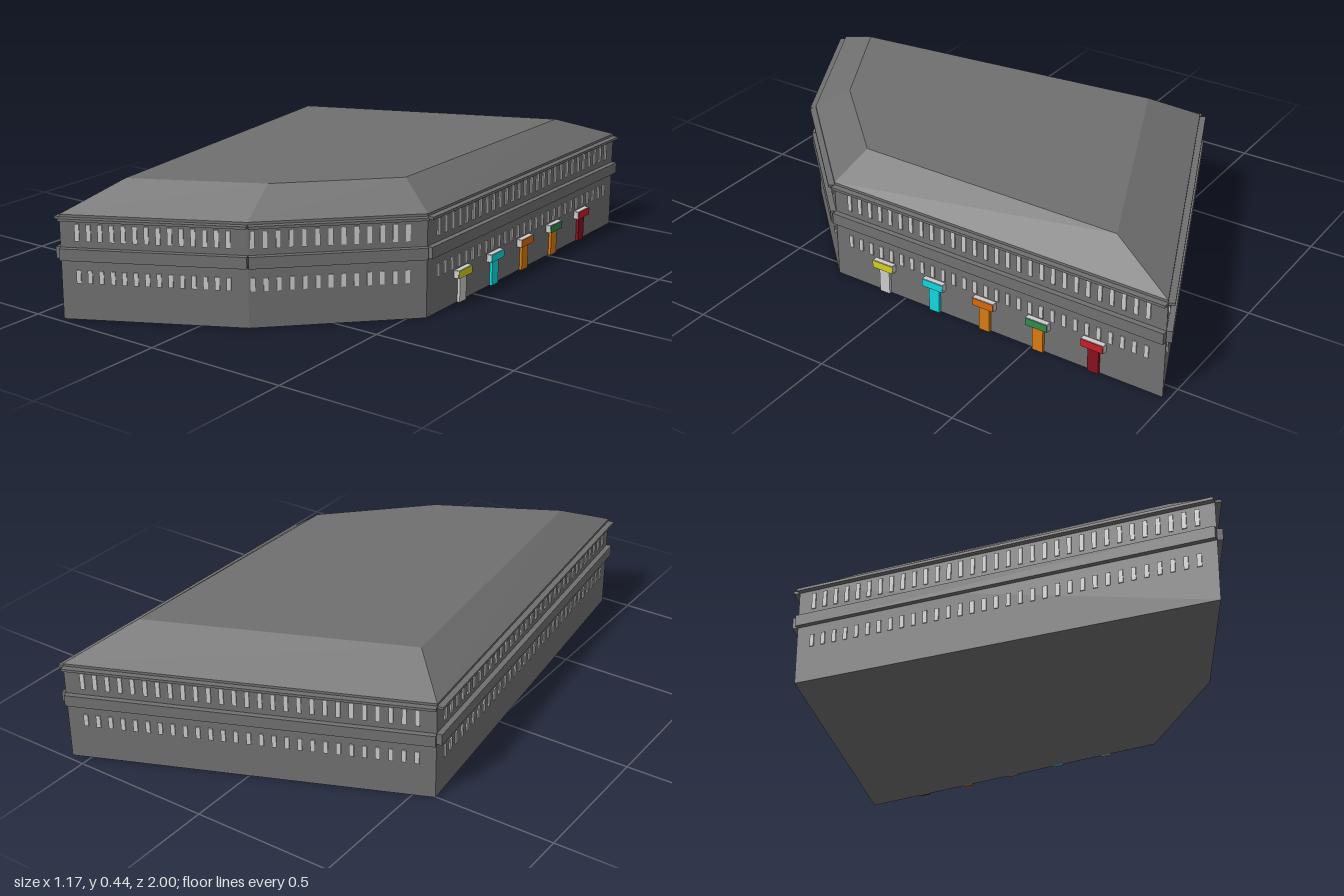
import * as THREE from 'three';

const material = (color) => new THREE.MeshStandardMaterial({ color, flatShading: true });
const wallGrey = material(0x707070);
const paleGrey = material(0xcccccc);

function box(parent, name, mat, w, h, d, x, y, z) {
  const mesh = new THREE.Mesh(new THREE.BoxGeometry(w, h, d), mat);
  mesh.name = name;
  mesh.position.set(x, y, z);
  parent.add(mesh);
  return mesh;
}

// Five corners (x, z) of the walls and of the flat roof top, counter-clockwise from above
const corners = [[-0.4, 0.98], [0.14, 0.695], [0.548, 0.285], [0.562, -0.98], [-0.57, -0.503]];
const roofTop = [[-0.3, 0.775], [0.113, 0.555], [0.428, 0.235], [0.445, -0.735], [-0.422, -0.368]];
const EAVES = 0.355, RIDGE = 0.444;

// Window count and first / last position along each wall
const windowRows = [[14, 0.093, 0.898], [13, 0.025, 0.89], [28, 0.05, 0.95], [27, 0.05, 0.95], [33, 0.04, 0.96]];

// z position, door colour, canopy colour
const doors = [
  [0.08, 0xcccccc, 0xd6cf1c],
  [-0.125, 0x10d8e0, 0x10d8e0],
  [-0.325, 0xd87a10, 0xd8680c],
  [-0.53, 0xd87a10, 0x2f8a4c],
  [-0.735, 0x85101f, 0xc81e26],
];

function createBody() {
  const shape = new THREE.Shape(corners.map(([x, z]) => new THREE.Vector2(x, -z)));
  const geometry = new THREE.ExtrudeGeometry(shape, { depth: EAVES, bevelEnabled: false });
  geometry.rotateX(-Math.PI / 2);
  const mesh = new THREE.Mesh(geometry, wallGrey);
  mesh.name = 'walls';
  return mesh;
}

// Hipped roof: sloping sides between the two outlines, closed by a flat top
function createRoof() {
  const n = corners.length;
  const positions = [
    ...corners.flatMap(([x, z]) => [x, EAVES, z]),
    ...roofTop.flatMap(([x, z]) => [x, RIDGE, z]),
  ];
  const index = [];
  for (let i = 0; i < n; i++) {
    const j = (i + 1) % n;
    index.push(i, j, n + j, i, n + j, n + i);
    if (i > 0 && i < n - 1) index.push(n, n + i, n + i + 1);
  }
  const indexed = new THREE.BufferGeometry();
  indexed.setAttribute('position', new THREE.Float32BufferAttribute(positions, 3));
  indexed.setIndex(index);
  const geometry = indexed.toNonIndexed();
  geometry.computeVertexNormals();
  const mesh = new THREE.Mesh(geometry, wallGrey);
  mesh.name = 'roof';
  return mesh;
}

// Group lying along a wall: x runs along it, z points outwards
function createFacade(i) {
  const [x0, z0] = corners[i];
  const [x1, z1] = corners[(i + 1) % corners.length];
  const length = Math.hypot(x1 - x0, z1 - z0);
  const facade = new THREE.Group();
  facade.name = 'facade' + (i + 1);
  facade.position.set(x0, 0, z0);
  facade.rotation.y = Math.atan2(z0 - z1, x1 - x0);

  // Horizontal mouldings
  box(facade, 'floorBand', wallGrey, length, 0.04, 0.028, length / 2, 0.225, 0.005);
  box(facade, 'cornice', wallGrey, length, 0.009, 0.03, length / 2, 0.342, 0.006);

  // Two rows of narrow windows
  const [count, start, end] = windowRows[i];
  for (let k = 0; k < count; k++) {
    const x = length * (start + (end - start) * k / (count - 1));
    box(facade, 'upperWindow', paleGrey, 0.015, 0.058, 0.008, x, 0.296, 0);
    box(facade, 'lowerWindow', paleGrey, 0.015, 0.044, 0.008, x, 0.147, 0);
  }

  // Coloured entrances on the long right wall
  if (i === 2) {
    for (const [z, doorColor, canopyColor] of doors) {
      const entrance = new THREE.Group();
      entrance.name = 'entrance';
      entrance.position.x = (z0 - z) / (z0 - z1) * length;
      box(entrance, 'door', material(doorColor), 0.04, 0.092, 0.018, 0, 0.046, 0.001);
      box(entrance, 'canopy', material(canopyColor), 0.08, 0.026, 0.03, 0, 0.104, 0.005);
      box(entrance, 'canopyTop', paleGrey, 0.08, 0.003, 0.028, 0, 0.1175, 0.004);
      for (const s of [-1, 1]) {
        box(entrance, 'canopyEnd', paleGrey, 0.002, 0.026, 0.028, s * 0.041, 0.104, 0.004);
      }
      facade.add(entrance);
    }
  }
  return facade;
}

export function createModel() {
  const model = new THREE.Group();
  model.name = 'building';
  model.add(createBody(), createRoof());
  corners.forEach((_, i) => model.add(createFacade(i)));
  return model;
}
